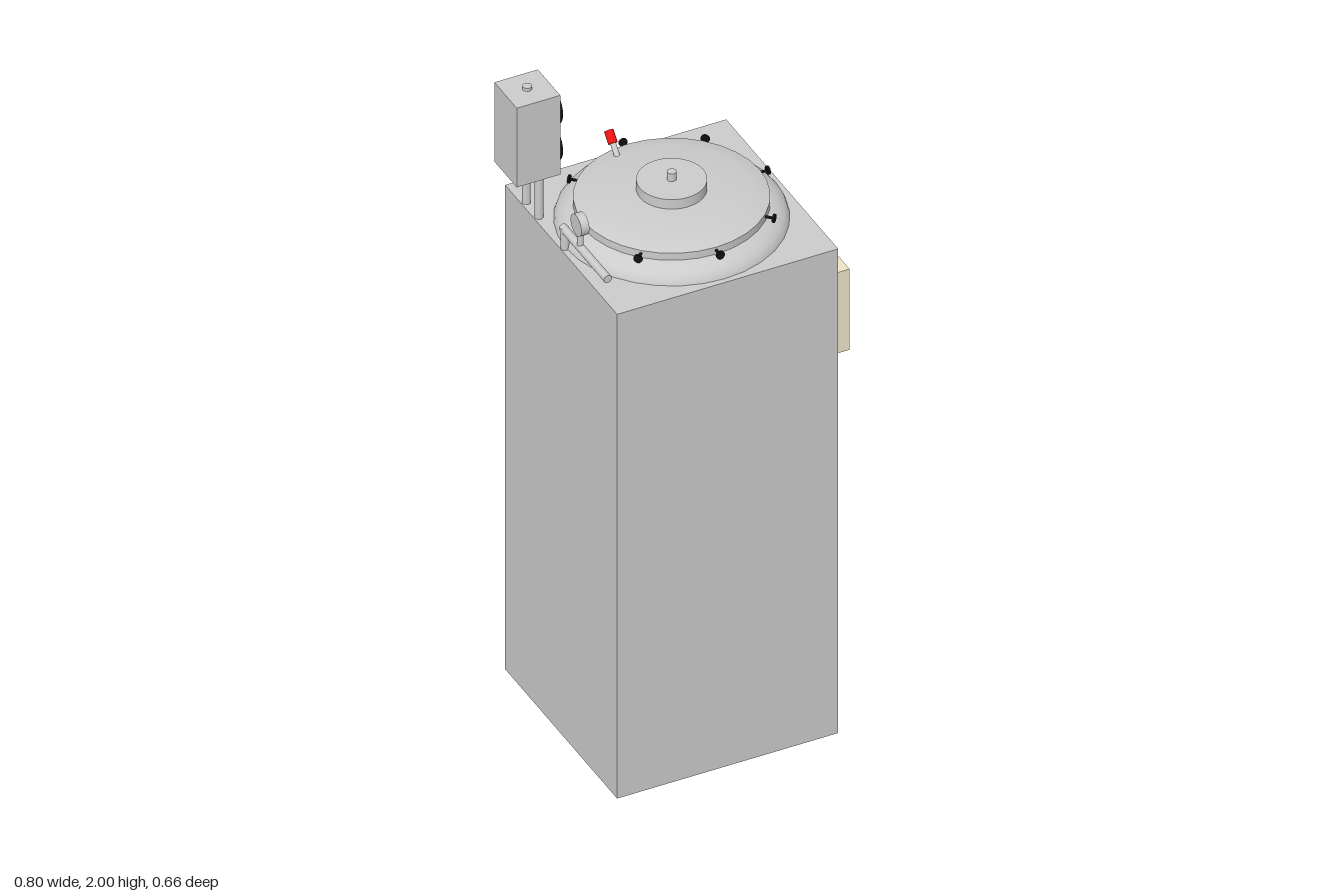
import * as THREE from 'three';

const CX = -0.005; // axis of cabinet and dome
const TOP = 1.59; // cabinet top

export function createModel() {
  const model = new THREE.Group();
  const grey = new THREE.MeshStandardMaterial({ color: 0xcccccc });
  const greyFlat = new THREE.MeshStandardMaterial({ color: 0xcccccc, side: THREE.DoubleSide });
  const cream = new THREE.MeshStandardMaterial({ color: 0xeee4c6 });
  const black = new THREE.MeshStandardMaterial({ color: 0x111111 });
  const dark = new THREE.MeshStandardMaterial({ color: 0x555555 });
  const red = new THREE.MeshStandardMaterial({ color: 0xee1111 });
  const white = new THREE.MeshStandardMaterial({ color: 0xf2f2e6 });

  const add = (name, geometry, material, parent = model) => {
    const mesh = new THREE.Mesh(geometry, material);
    mesh.name = name;
    parent.add(mesh);
    return mesh;
  };
  // Box given by its lower and upper corners
  const box = (name, a, b, material) => {
    const m = add(name, new THREE.BoxGeometry(b[0] - a[0], b[1] - a[1], b[2] - a[2]), material);
    m.position.set((a[0] + b[0]) / 2, (a[1] + b[1]) / 2, (a[2] + b[2]) / 2);
    return m;
  };
  // Cylinder running between two points
  const rod = (name, a, b, r, material, parent = model, sides = 20) => {
    const p = new THREE.Vector3(...a), q = new THREE.Vector3(...b);
    const m = add(name, new THREE.CylinderGeometry(r, r, p.distanceTo(q), sides), material, parent);
    m.position.copy(p).add(q).multiplyScalar(0.5);
    m.quaternion.setFromUnitVectors(new THREE.Vector3(0, 1, 0), q.sub(p).normalize());
    return m;
  };
  const lathe = (name, points) => {
    const m = add(name, new THREE.LatheGeometry(points.map(p => new THREE.Vector2(...p)), 32), greyFlat);
    m.position.x = CX;
    return m;
  };

  // Cabinet
  box('cabinet', [-0.335, 0, -0.33], [0.325, TOP, 0.33], grey);

  // Rounded shoulder, lid and centre plug
  lathe('shoulder', [[0.315, TOP], [0.311, 1.603], [0.301, 1.615], [0.285, 1.627], [0.263, 1.637], [0.25, 1.638]]);
  rod('lidRim', [CX, 1.63, 0], [CX, 1.66, 0], 0.263, grey, model, 32);
  lathe('lid', [[0.263, 1.66], [0.21, 1.677], [0.095, 1.684], [0, 1.684]]);
  rod('plug', [CX, 1.67, 0], [CX, 1.715, 0], 0.095, grey, model, 32);
  rod('plugPin', [CX, 1.71, 0], [CX, 1.74, 0], 0.013, grey);

  // Eight radial clamp bolts around the lid
  for (let i = 0; i < 8; i++) {
    const bolt = new THREE.Group();
    bolt.name = 'clampBolt';
    bolt.position.set(CX, 1.65, 0);
    bolt.rotation.y = i * Math.PI / 4;
    rod('boltStem', [0.255, 0, 0], [0.286, 0, 0], 0.004, black, bolt, 12);
    rod('boltHead', [0.284, 0, 0], [0.29, 0, 0], 0.0125, black, bolt, 16);
    model.add(bolt);
  }

  // Tilted relief valve with red cap
  rod('valveStem', [-0.06, 1.66, -0.2], [-0.06, 1.7, -0.24], 0.008, grey);
  rod('valveCap', [-0.06, 1.697, -0.237], [-0.06, 1.723, -0.263], 0.013, red);

  // Side control panel with three displays
  box('controlPanel', [0.325, 1.195, -0.265], [0.392, 1.46, 0.265], cream);
  for (const [z0, z1] of [[0.168, 0.232], [0.048, 0.112], [-0.033, 0.033]])
    box('display', [0.385, 1.395, z0], [0.4, 1.447, z1], dark);

  // Twin-disc unit on two posts
  for (const z of [-0.16, -0.235])
    rod('unitPost', [-0.32, TOP, z], [-0.32, 1.74, z], 0.012, grey);
  box('unitHousing', [-0.4, 1.73, -0.265], [-0.27, 1.99, -0.133], grey);
  rod('unitKnob', [-0.335, 1.98, -0.2], [-0.335, 2, -0.2], 0.013, grey);
  for (const y of [1.793, 1.913])
    rod('unitDisc', [-0.275, y, -0.199], [-0.255, y, -0.199], 0.053, black, model, 32);

  // Vent pipe with pressure gauge
  rod('ventRiser', [-0.322, TOP, -0.003], [-0.322, 1.655, -0.003], 0.012, grey);
  rod('ventPipe', [-0.322, 1.65, -0.015], [-0.322, 1.65, 0.25], 0.012, grey);
  rod('gaugeStem', [-0.322, 1.65, 0.088], [-0.322, 1.7, 0.088], 0.009, grey);
  rod('gaugeBody', [-0.335, 1.727, 0.088], [-0.311, 1.727, 0.088], 0.032, grey, model, 28);
  rod('gaugeFace', [-0.315, 1.727, 0.088], [-0.31, 1.727, 0.088], 0.027, white, model, 28);

  return model;
}
